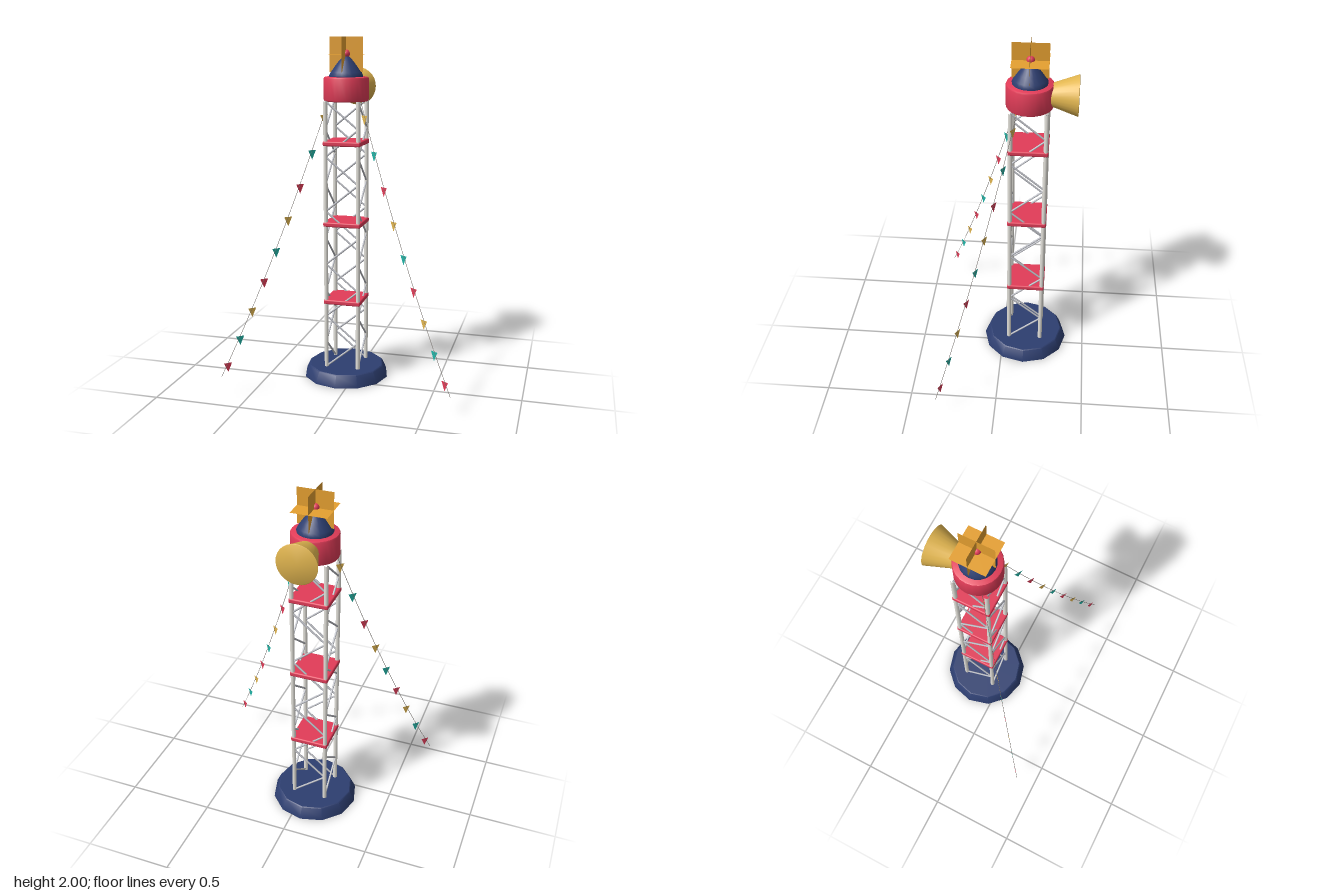
import * as THREE from 'three';
import { toCreasedNormals } from 'three/addons/utils/BufferGeometryUtils.js';
import { RoundedBoxGeometry } from 'three/addons/geometries/RoundedBoxGeometry.js';

const mat = (name, color, side = THREE.FrontSide) => {
  const m = new THREE.MeshStandardMaterial({ color, side });
  m.name = name;
  return m;
};
const V = (x, y, z) => new THREE.Vector3(x, y, z);

export function createModel() {
  const red = mat('red paint', 0xe23c58, THREE.DoubleSide);
  const navy = mat('navy paint', 0x2d3e70);
  const steel = mat('pale steel', 0xe6e4dd);
  const brace = mat('grey steel', 0xbfc1c8);
  const brass = mat('brass', 0xe2b650, THREE.DoubleSide);
  const orange = mat('orange plate', 0xe5a030, THREE.DoubleSide);
  const teal = mat('teal cloth', 0x22b5a8, THREE.DoubleSide);
  const cable = mat('grey cable', 0x77706a);

  const model = new THREE.Group();
  model.name = 'signalMast';
  const mast = new THREE.Group();
  mast.name = 'mast';
  mast.position.set(-0.06, 0, -0.137);
  model.add(mast);

  const add = (parent, name, geometry, material, x = 0, y = 0, z = 0) => {
    const mesh = new THREE.Mesh(geometry, material);
    mesh.name = name;
    mesh.position.set(x, y, z);
    parent.add(mesh);
    return mesh;
  };
  const lathe = (pts, sides) => toCreasedNormals(
    new THREE.LatheGeometry(pts.map(([r, y]) => new THREE.Vector2(r, y)), sides), 0.6);
  // Round open tube between two points
  const bar = (parent, name, a, b, radius, material) => {
    const d = b.clone().sub(a);
    const mesh = add(parent, name, new THREE.CylinderGeometry(radius, radius, d.length(), 8, 1, true), material);
    mesh.position.copy(a).lerp(b, 0.5);
    mesh.quaternion.setFromUnitVectors(V(0, 1, 0), d.normalize());
  };

  // Twelve-sided foot
  add(mast, 'base', lathe([[0, 0], [0.252, 0], [0.25, 0.012], [0.225, 0.066], [0.219, 0.07], [0, 0.07]], 12), navy);

  // Four legs, each side with a zigzag of braces
  const half = 0.096, bottom = 0.07, top = 1.645, panels = 10;
  const step = (top - bottom) / panels;
  for (let side = 0; side < 4; side++) {
    const face = new THREE.Group();
    face.name = 'latticeSide';
    face.rotation.y = side * Math.PI / 2;
    mast.add(face);
    bar(face, 'leg', V(half, bottom - 0.01, half), V(half, top, half), 0.0125, steel);
    for (let i = 0; i < panels; i++) {
      const s = i % 2 ? -half : half;
      bar(face, 'brace', V(-s, bottom + i * step, half), V(s, bottom + (i + 1) * step, half), 0.0055, brace);
    }
  }

  // Platforms
  for (const y of [0.472, 0.938, 1.406])
    add(mast, 'platform', new RoundedBoxGeometry(0.22, 0.028, 0.22, 2, 0.008), red, 0, y, 0);

  // Drum with softened rims
  add(mast, 'drum', lathe([[0, 1.641], [0.119, 1.641], [0.125, 1.644], [0.128, 1.651],
    [0.128, 1.768], [0.125, 1.775], [0.119, 1.778], [0, 1.778]], 24), red);

  // Domed cap and lamp
  add(mast, 'cap', lathe([[0.096, 1.776], [0.096, 1.786], [0.088, 1.802], [0.066, 1.833],
    [0.042, 1.865], [0.02, 1.888], [0, 1.896]], 20), navy);
  add(mast, 'lamp', new THREE.SphereGeometry(0.022, 16, 12), red, 0, 1.906, 0);

  // Reflector of three crossed square sheets
  const reflector = new THREE.Group();
  reflector.name = 'reflector';
  reflector.position.y = 1.902;
  mast.add(reflector);
  for (const [rx, ry] of [[0, 0], [0, Math.PI / 2], [-Math.PI / 2, 0]])
    add(reflector, 'reflectorSheet', new THREE.PlaneGeometry(0.196, 0.196), orange).rotation.set(rx, ry, 0);

  // Closed horn facing backwards
  const horn = add(mast, 'horn', lathe([[0, 0], [0.05, 0], [0.066, 0.05], [0.109, 0.174],
    [0.111, 0.178], [0.108, 0.18], [0, 0.18]], 28), brass, 0, 1.713, -0.078);
  horn.rotation.x = -Math.PI / 2;

  // Sagging guy cables with pennants hanging in the plane of the cable
  const guys = [
    { name: 'rightGuy', a: V(-0.14, 1.665, -0.08), b: V(-0.645, 0.12, 0.39) },
    { name: 'leftGuy', a: V(0.034, 1.665, -0.08), b: V(0.643, 0.12, 0.33) },
  ];
  const pennant = new THREE.ShapeGeometry(new THREE.Shape([
    new THREE.Vector2(-0.024, 0), new THREE.Vector2(0, -0.054), new THREE.Vector2(0.024, 0)]));
  const flagColours = [brass, teal, red];
  for (const { name, a, b } of guys) {
    const guy = new THREE.Group();
    guy.name = name;
    model.add(guy);
    const at = (u) => {
      const p = a.clone().lerp(b, u);
      p.y -= 0.28 * u * (1 - u);
      return p;
    };
    const points = Array.from({ length: 13 }, (_, i) => at(i / 12));
    add(guy, 'cable', new THREE.TubeGeometry(new THREE.CatmullRomCurve3(points), 32, 0.0013, 6), cable);
    for (let k = 0; k < 9; k++) {
      const p = at(0.054 + k * 0.111);
      const flag = add(guy, 'pennant', pennant, flagColours[k % 3], p.x, p.y, p.z);
      flag.rotation.y = -Math.atan2(b.z - a.z, b.x - a.x);
    }
  }
  return model;
}
